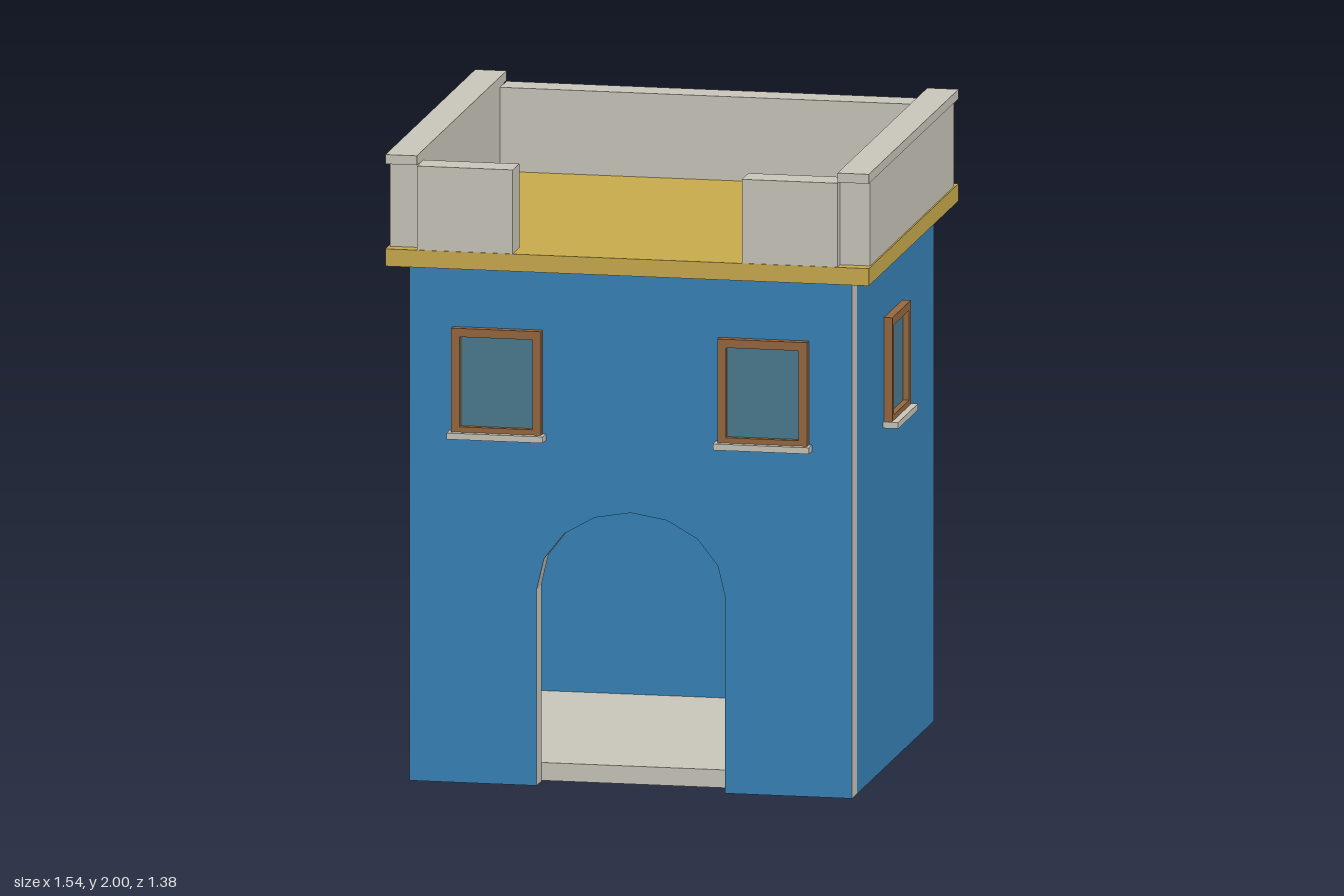
import * as THREE from 'three';

const mat = (name, color) => {
  const m = new THREE.MeshStandardMaterial({ color });
  m.name = name;
  return m;
};

export function createModel() {
  const blue = mat('blue plaster', 0x3782b8);
  const stone = mat('pale stone', 0xcac6bb);
  const gold = mat('ochre roof', 0xcaab4d);
  const wood = mat('brown wood', 0x96683f);
  const glass = mat('teal glass', 0x4b7b90);

  const house = new THREE.Group();
  house.name = 'house';

  // Box given by its lower and upper limits on each axis
  const box = (name, material, [x0, x1], [y0, y1], [z0, z1], parent = house) => {
    const mesh = new THREE.Mesh(new THREE.BoxGeometry(x1 - x0, y1 - y0, z1 - z0), material);
    mesh.position.set((x0 + x1) / 2, (y0 + y1) / 2, (z0 + z1) / 2);
    mesh.name = name;
    parent.add(mesh);
    return mesh;
  };

  const W = 0.705, T = 0.07, TOP = 1.645, BACK = -0.625, FRONT = 0.56, FACE = 0.63;

  // Back and side walls, floor
  box('backWall', blue, [-W, W], [0, TOP], [BACK, BACK + T]);
  box('leftWall', blue, [W - T, W], [0, TOP], [BACK + T, FRONT]);
  box('rightWall', blue, [-W, -W + T], [0, TOP], [BACK + T, FRONT]);
  box('floor', stone, [-W + T, W - T], [0.003, 0.06], [BACK + T, FRONT]);

  // Front wall with arched doorway: painted faces, bare stone edges
  const outline = new THREE.Shape();
  outline.moveTo(-W, 0);
  outline.lineTo(-0.3, 0);
  outline.lineTo(-0.3, 0.625);
  outline.absellipse(0, 0.625, 0.3, 0.255, Math.PI, 0, true);
  outline.lineTo(0.3, 0);
  outline.lineTo(W, 0);
  outline.lineTo(W, TOP);
  outline.lineTo(-W, TOP);
  const frontWall = new THREE.Mesh(
    new THREE.ExtrudeGeometry(outline, { depth: FACE - FRONT, bevelEnabled: false, curveSegments: 4 }),
    [blue, stone]
  );
  frontWall.position.z = FRONT;
  frontWall.name = 'frontWall';
  house.add(frontWall);

  // Roof slab
  box('roofSlab', gold, [-0.77, 0.77], [TOP, 1.7], [-0.688, 0.688]);

  // Parapet: back wall, side walls with caps, two short front pieces
  box('backParapet', stone, [-0.67, 0.67], [1.7, 1.967], [-0.688, -0.588]);
  for (const [side, s] of [['left', 1], ['right', -1]]) {
    const span = (a, b) => (s > 0 ? [a, b] : [-b, -a]);
    box(side + 'Parapet', stone, span(0.67, 0.765), [1.7, 1.97], [-0.645, 0.645]);
    box(side + 'ParapetCap', stone, span(0.67, 0.77), [1.97, 2], [-0.688, 0.688]);
    box(side + 'FrontParapet', stone, span(0.365, 0.67), [1.7, 1.967], [0.585, 0.685]);
  }

  // Window facing +z, centred on the origin of its group, wall at z = 0
  const addWindow = (name, x, y, z, turn) => {
    const g = new THREE.Group();
    g.name = name;
    const w = 0.143, h = 0.17, b = 0.027, d = 0.027;
    box('frameTop', wood, [-w, w], [h - b, h], [0, d], g);
    box('frameBottom', wood, [-w, w], [-h, -h + b], [0, d], g);
    box('frameLeft', wood, [w - b, w], [-h + b, h - b], [0, d], g);
    box('frameRight', wood, [-w, -w + b], [-h + b, h - b], [0, d], g);
    box('pane', glass, [-w + b, w - b], [-h + b, h - b], [0, 0.008], g);
    box('sill', stone, [-0.153, 0.153], [-0.18, -0.16], [0, 0.048], g);
    g.position.set(x, y, z);
    g.rotation.y = turn;
    house.add(g);
  };
  addWindow('frontLeftWindow', 0.424, 1.28, FACE, 0);
  addWindow('frontRightWindow', -0.424, 1.28, FACE, 0);
  addWindow('sideWindow', W, 1.265, 0.002, Math.PI / 2);

  return house;
}
